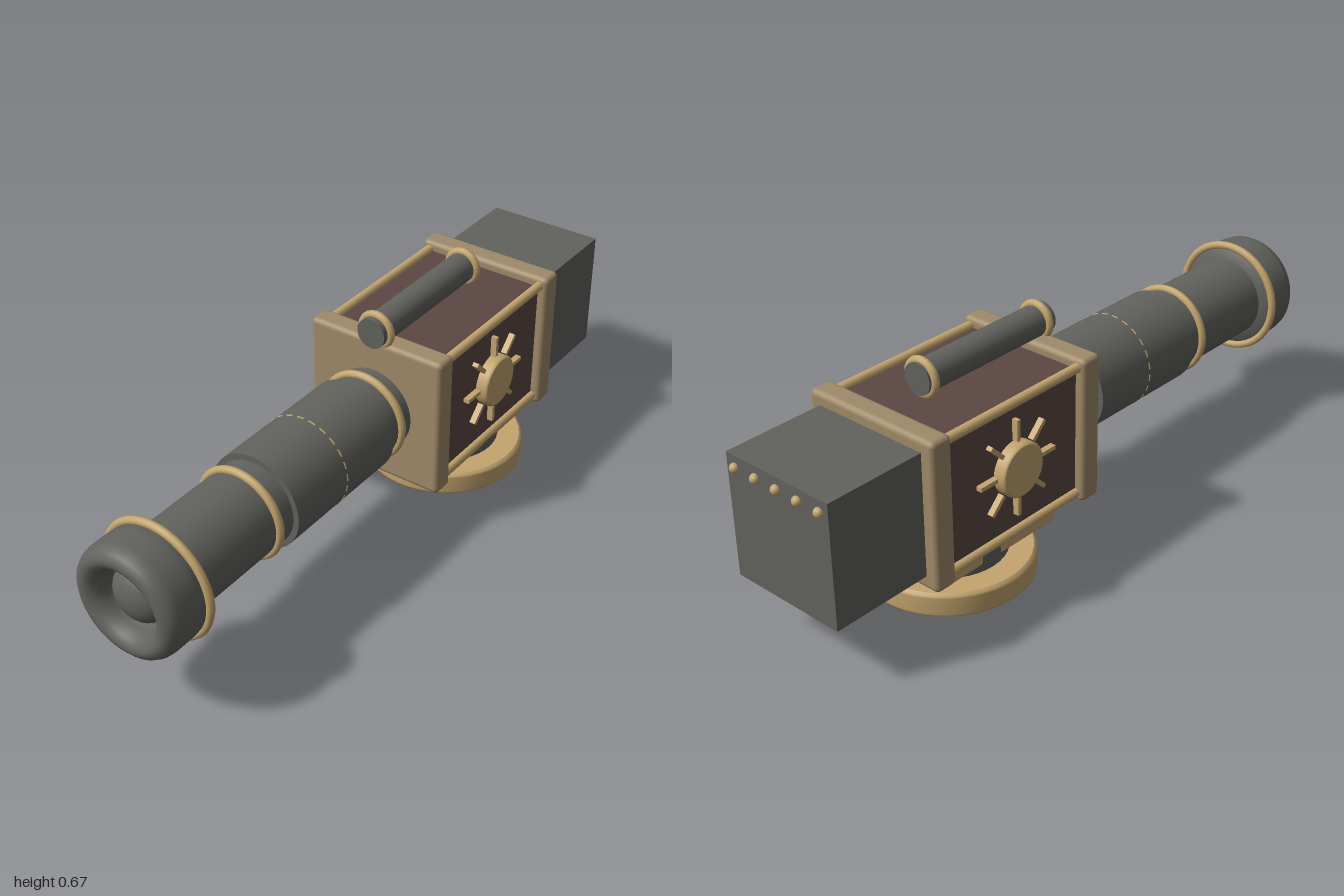
import * as THREE from 'three';
import { RoundedBoxGeometry } from 'three/addons/geometries/RoundedBoxGeometry.js';

export function createModel() {
  const model = new THREE.Group();
  const mat = (name, color) => {
    const m = new THREE.MeshStandardMaterial({ color });
    m.name = name;
    return m;
  };
  const brass = mat('brass', 0xc4a56f);
  const bronze = mat('bronze', 0xa08a69);
  const iron = mat('iron', 0x62635e);
  const leather = mat('leather', 0x5c4843);
  const AXIS = 0.364; // height of the barrel axis
  const BODY_Z = -0.363;

  const add = (name, geo, material, x = 0, y = 0, z = 0, parent = model) => {
    const mesh = new THREE.Mesh(geo, material);
    mesh.name = name;
    mesh.position.set(x, y, z);
    parent.add(mesh);
    return mesh;
  };
  // Cylinder lying along z between two depths
  const rod = (name, r, z0, z1, material, x, y, sides = 40) =>
    add(name, new THREE.CylinderGeometry(r, r, z1 - z0, sides).rotateX(Math.PI / 2), material, x, y, (z0 + z1) / 2);
  const ring = (name, r, tube, y, z, sides = 48) =>
    add(name, new THREE.TorusGeometry(r, tube, 10, sides), brass, 0, y, z);
  const lathe = (pts, sides = 48) =>
    new THREE.LatheGeometry(pts.map(([r, h]) => new THREE.Vector2(r, h)), sides);

  // Barrel, sleeve and bands
  rod('barrel', 0.125, -0.08, 0.87, iron, 0, AXIS);
  rod('barrelSleeve', 0.142, 0.062, 0.487, iron, 0, AXIS);
  ring('rearBand', 0.128, 0.012, AXIS, 0.003);
  ring('middleBand', 0.128, 0.012, AXIS, 0.547);
  ring('muzzleBand', 0.166, 0.012, AXIS, 0.864);

  // Fine stitched line around the sleeve
  const stitches = new THREE.Group();
  stitches.name = 'sleeveStitches';
  stitches.position.set(0, AXIS, 0.275);
  model.add(stitches);
  for (let i = 0; i < 24; i++) {
    const dash = add('stitch', new THREE.TorusGeometry(0.141, 0.003, 5, 4, 0.15), brass, 0, 0, 0, stitches);
    dash.rotation.z = (i / 24) * Math.PI * 2;
  }

  // Muzzle with a rounded lip, and the domed lens inside it
  add('muzzle', lathe([
    [0.12, 0.85], [0.152, 0.858], [0.162, 0.872], [0.164, 0.9], [0.164, 0.955], [0.161, 0.973],
    [0.153, 0.988], [0.141, 0.997], [0.128, 1], [0.115, 0.996], [0.103, 0.986], [0.095, 0.972],
    [0.09, 0.955], [0.088, 0.93], [0.08, 0.925], [0.001, 0.925],
  ]).rotateX(Math.PI / 2), iron, 0, AXIS);
  const lens = add('lens', new THREE.SphereGeometry(0.081, 32, 20), iron, 0, AXIS, 0.925);
  lens.scale.z = 0.65;

  // Body with end plates and corner rails
  add('body', new THREE.BoxGeometry(0.38, 0.38, 0.54), leather, 0, AXIS, BODY_Z);
  for (const [name, z] of [['frontPlate', -0.08], ['rearPlate', -0.645]])
    add(name, new RoundedBoxGeometry(0.438, 0.438, 0.07, 3, 0.016), bronze, 0, AXIS, z);
  for (const sx of [-1, 1])
    for (const sy of [-1, 1])
      rod('cornerRail', 0.014, -0.63, -0.1, brass, sx * 0.193, AXIS + sy * 0.193, 12);

  // Rear housing with a row of rivets
  add('rearHousing', new THREE.BoxGeometry(0.36, 0.36, 0.31), iron, 0, 0.367, -0.825);
  for (let i = -2; i <= 2; i++)
    add('rivet', new THREE.SphereGeometry(0.014, 12, 8), brass, i * 0.075, 0.513, -0.982);

  // Sun emblem on both sides
  for (const side of [-1, 1]) {
    const sun = new THREE.Group();
    sun.name = side > 0 ? 'leftSun' : 'rightSun';
    sun.position.set(side * 0.19, 0.367, -0.36);
    sun.rotation.y = side * Math.PI / 2;
    model.add(sun);
    add('sunDisc', lathe([[0.078, 0], [0.078, 0.029], [0.072, 0.035], [0.072, 0.035], [0.001, 0.035]], 32)
      .rotateX(Math.PI / 2), brass, 0, 0, 0, sun);
    for (let i = 0; i < 8; i++) {
      const a = i * Math.PI / 4;
      const ray = add('sunRay', new THREE.BoxGeometry(0.062, 0.012, 0.024), brass,
        Math.cos(a) * 0.112, Math.sin(a) * 0.112, 0.006, sun);
      ray.rotation.z = a;
    }
  }

  // Sighting tube on top
  rod('sightTube', 0.045, -0.51, -0.028, iron, 0, 0.615, 32);
  ring('sightFrontRing', 0.047, 0.012, 0.615, -0.056, 20);
  ring('sightRearRing', 0.047, 0.012, 0.615, -0.492, 20);

  // Turntable base, neck and mounting feet
  add('base', lathe([
    [0.001, 0], [0.232, 0], [0.232, 0], [0.24, 0.006], [0.242, 0.014], [0.242, 0.062],
    [0.24, 0.069], [0.232, 0.075], [0.232, 0.075], [0.001, 0.075],
  ], 48), brass, 0, 0, -0.42);
  add('neck', new THREE.CylinderGeometry(0.166, 0.166, 0.11, 40), iron, 0, 0.12, -0.42);
  for (const x of [-0.138, 0.138]) {
    add('frontFoot', new RoundedBoxGeometry(0.05, 0.075, 0.227, 2, 0.01), brass, x, 0.131, -0.281);
    add('rearFoot', new RoundedBoxGeometry(0.05, 0.075, 0.165, 2, 0.01), brass, x, 0.131, -0.533);
  }

  return model;
}
